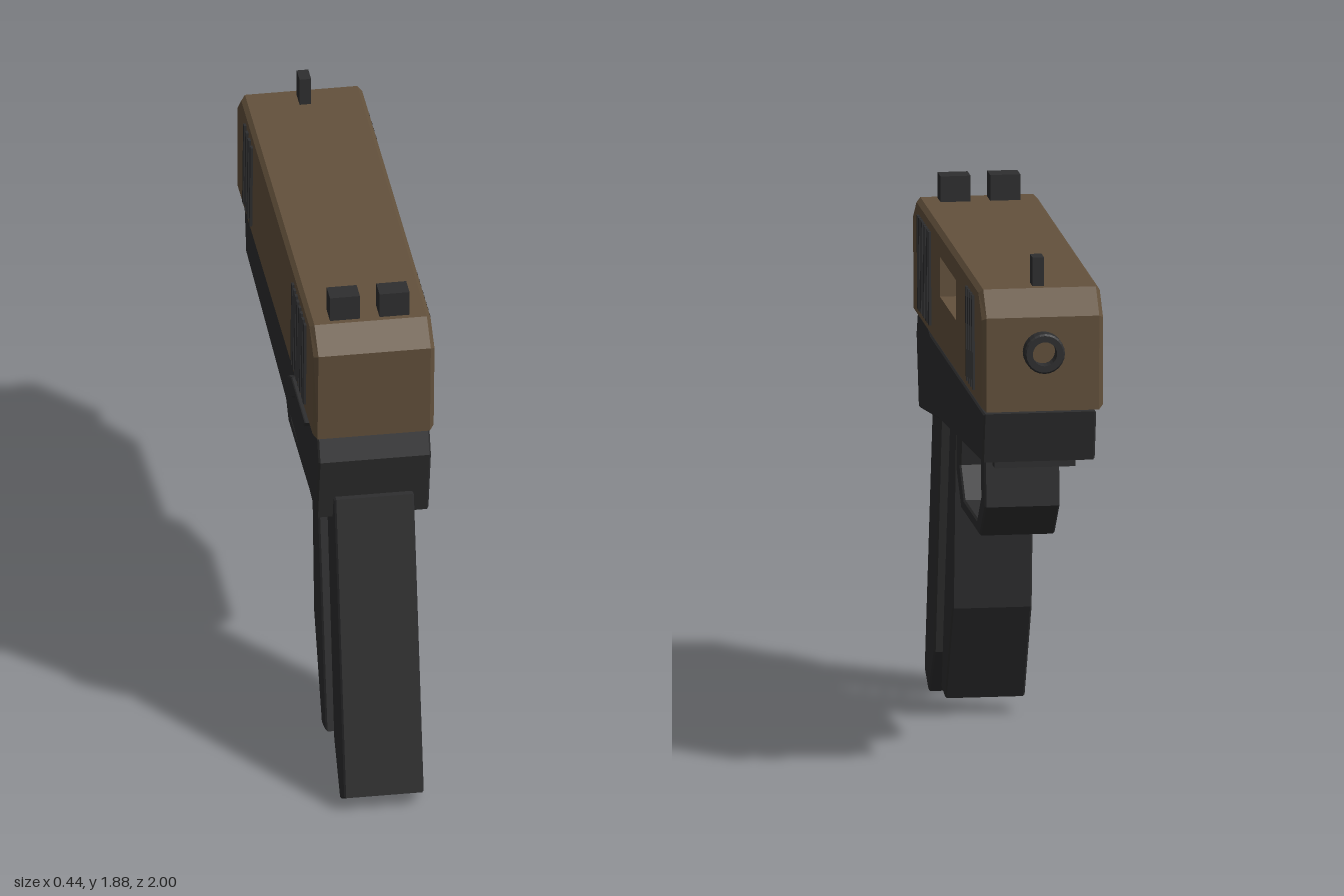
import * as THREE from 'three';

const slideBrown = new THREE.MeshStandardMaterial({ color: 0x63513c });
slideBrown.name = 'slideBrown';
const frameBlack = new THREE.MeshStandardMaterial({ color: 0x2e2e2f });
frameBlack.name = 'frameBlack';
const boreBlack = new THREE.MeshStandardMaterial({ color: 0x1a1a1b });
boreBlack.name = 'boreBlack';

// Side outlines are lists of [z, y]
const outline = (pts) => new THREE.Shape(pts.map(([z, y]) => new THREE.Vector2(-z, y)));

function mesh(name, geometry, material = frameBlack) {
  const m = new THREE.Mesh(geometry, material);
  m.name = name;
  return m;
}

// Side outline extruded across x from x0 to x1 with a fine edge bevel
function plate(name, pts, x0, x1, bevel = 0.006, material = frameBlack) {
  const g = new THREE.ExtrudeGeometry(outline(pts), {
    depth: x1 - x0 - 2 * bevel,
    bevelEnabled: bevel > 0,
    bevelThickness: bevel,
    bevelSize: bevel,
    bevelOffset: -bevel,
    bevelSegments: 1,
  });
  g.rotateY(Math.PI / 2);
  g.translate(x0 + bevel, 0, 0);
  return mesh(name, g, material);
}

function box(name, w, h, d, x, y, z) {
  const m = mesh(name, new THREE.BoxGeometry(w, h, d));
  m.position.set(x, y, z);
  return m;
}

// Flat-shaded skin through matching [x, outline] rings
function loft(name, rings, material) {
  const p = [];
  for (let r = 0; r + 1 < rings.length; r++) {
    const [x0, a] = rings[r], [x1, b] = rings[r + 1];
    for (let i = 0; i < a.length; i++) {
      const j = (i + 1) % a.length;
      const a0 = [x0, a[i][1], a[i][0]], b0 = [x0, a[j][1], a[j][0]];
      const a1 = [x1, b[i][1], b[i][0]], b1 = [x1, b[j][1], b[j][0]];
      p.push(...a0, ...b0, ...b1, ...a0, ...b1, ...a1);
    }
  }
  const g = new THREE.BufferGeometry();
  g.setAttribute('position', new THREE.Float32BufferAttribute(p, 3));
  g.computeVertexNormals();
  return mesh(name, g, material);
}

function buildSlide() {
  const group = new THREE.Group();
  group.name = 'slide';
  const full = [[0.765, 1.36], [-0.945, 1.36], [-0.95, 1.69], [-0.865, 1.775], [0.695, 1.775], [0.785, 1.7]];
  const inset = full.map(([z, y]) => [-0.08 + (z + 0.08) * 0.983, 1.57 + (y - 1.57) * 0.93]);
  const port = [[0.1, 1.55], [-0.295, 1.55], [-0.295, 1.69], [0.1, 1.69]];
  group.add(loft('slideShell', [[-0.21, inset], [-0.195, full], [0.195, full], [0.21, inset]], slideBrown));

  // Left side with the port opening
  const leftShape = outline(inset);
  leftShape.holes.push(outline(port));
  const left = new THREE.ShapeGeometry(leftShape).rotateY(Math.PI / 2).translate(0.21, 0, 0);
  group.add(mesh('slideLeftSide', left, slideBrown));

  // Closed right side
  const rightShape = new THREE.Shape(inset.map(([z, y]) => new THREE.Vector2(z, y)));
  const right = new THREE.ShapeGeometry(rightShape).rotateY(-Math.PI / 2).translate(-0.21, 0, 0);
  group.add(mesh('slideRightSide', right, slideBrown));

  // Port recess
  group.add(loft('portWalls', [[0.21, port], [0.1, port]], slideBrown));
  const floor = new THREE.ShapeGeometry(outline(port)).rotateY(Math.PI / 2).translate(0.1, 0, 0);
  group.add(mesh('portFloor', floor, slideBrown));

  // Slanted grip ribs, rear and front, on both sides
  const ribs = [];
  for (let i = 0; i < 8; i++) ribs.push([0.618 - i * 0.039, 0.016]);
  for (let i = 0; i < 4; i++) ribs.push([-0.582 - i * 0.05, 0.022]);
  for (const [z, lean] of ribs) {
    const pts = [[z - lean, 1.405], [z - lean - 0.019, 1.405], [z - 0.019, 1.73], [z, 1.73]];
    group.add(plate('rightRib', pts, -0.219, -0.2, 0), plate('leftRib', pts, 0.2, 0.219, 0));
  }

  // Sights
  for (const s of [-1, 1]) group.add(box('rearSight', 0.104, 0.11, 0.075, s * 0.086, 1.81, 0.638));
  group.add(box('frontSight', 0.04, 0.12, 0.064, 0, 1.815, -0.802));
  return group;
}

function buildBarrel() {
  const group = new THREE.Group();
  group.name = 'barrel';
  // Hollow tube profile as [radius, length]
  const profile = [[0.07, 0], [0.07, 0.094], [0.064, 0.1], [0.042, 0.1], [0.042, 0.03]];
  const g = new THREE.LatheGeometry(profile.map(([r, h]) => new THREE.Vector2(r, h)), 24).toNonIndexed();
  g.computeVertexNormals();
  const tube = mesh('barrelTube', g);
  const bore = mesh('boreEnd', new THREE.CircleGeometry(0.043, 24).rotateX(-Math.PI / 2), boreBlack);
  bore.position.y = 0.031;
  group.add(tube, bore);
  group.rotation.x = -Math.PI / 2;
  group.position.set(0, 1.57, -0.9);
  return group;
}

export function createModel() {
  const model = new THREE.Group();
  model.name = 'pistol';
  model.add(buildSlide(), buildBarrel());

  // Frame under the slide
  model.add(plate('frame', [
    [0.735, 1.03], [0.25, 1.09], [-0.84, 1.163], [-0.88, 1.34], [0.45, 1.342], [0.52, 1.36], [0.76, 1.36], [0.793, 1.28],
  ], -0.195, 0.195));

  // Two grip posts
  model.add(plate('rearGrip', [
    [1.0, 0.06], [0.9, 0.0], [0.765, 0.165], [0.588, 1.12], [0.778, 1.12],
  ], -0.138, 0.138));
  model.add(plate('frontGrip', [
    [0.582, 0.08], [0.49, 0.06], [0.314, 0.41], [0.255, 1.13], [0.352, 1.13],
  ], -0.138, 0.138));

  // Trigger guard: outer edge forward, inner edge back
  model.add(plate('triggerGuard', [
    [0.275, 1.11], [0.265, 0.905], [0.147, 0.795], [-0.308, 0.795], [-0.437, 0.92], [-0.42, 1.15],
    [-0.33, 1.15], [-0.346, 0.94], [-0.244, 0.838], [0.083, 0.838], [0.185, 0.94], [0.15, 1.11],
  ], -0.13, 0.13));
  model.add(plate('trigger', [
    [0.007, 1.13], [-0.03, 1.015], [-0.118, 0.96], [-0.138, 0.988], [-0.065, 1.03], [-0.04, 1.13],
  ], -0.04, 0.04));

  // Accessory rail bars under the nose
  for (const z of [-0.465, -0.598, -0.73]) model.add(box('railBar', 0.28, 0.06, 0.052, 0, 1.154, z));

  // Slide stop lever on the right side
  model.add(plate('slideStop', [
    [0.3, 1.255], [0.21, 1.255], [0.21, 1.29], [0.3, 1.335], [0.61, 1.335], [0.58, 1.305], [0.38, 1.305],
  ], -0.215, -0.19, 0.004));
  return model;
}
